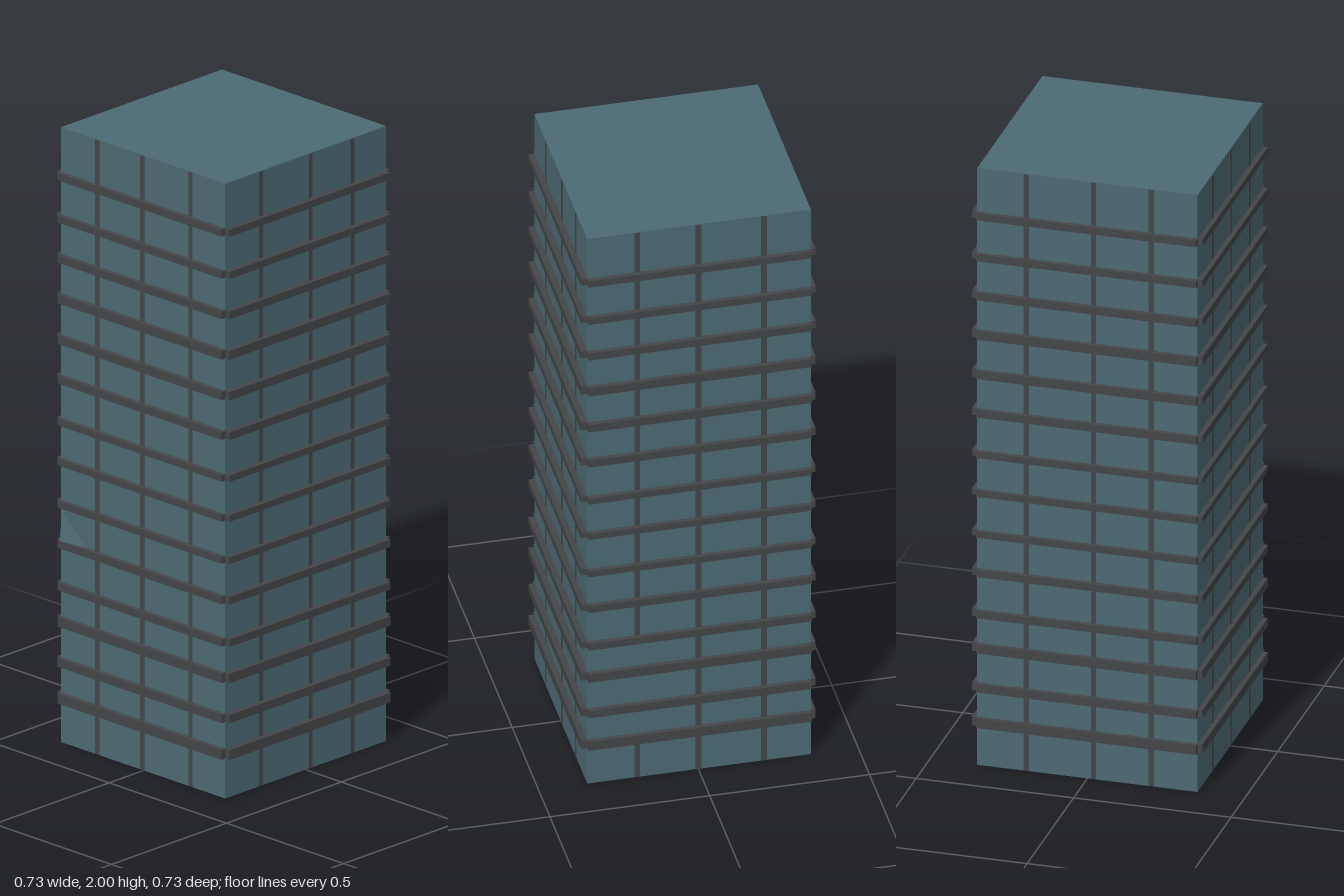
import * as THREE from 'three';

const W = 0.70;            // tower width
const OFF = -0.002;        // slight z offset of the tower

export function createModel() {
  const model = new THREE.Group();
  model.name = 'towerBlock';
  const glass = new THREE.MeshStandardMaterial({ color: 0x4c6a72 });
  const dark = new THREE.MeshStandardMaterial({ color: 0x434547 });

  const box = (name, w, h, d, x, y, z, mat, parent = model) => {
    const mesh = new THREE.Mesh(new THREE.BoxGeometry(w, h, d), mat);
    mesh.name = name;
    mesh.position.set(x, y, z);
    parent.add(mesh);
    return mesh;
  };

  // Glazed body
  box('body', W, 2, W, 0, 1, OFF, glass);

  // Floor ledges: [height, thickness]; two crossing slabs leave notched corners
  const floors = [
    [0.146, 0.032], [0.263, 0.027], [0.395, 0.03], [0.51, 0.024], [0.648, 0.024],
    [0.778, 0.021], [0.915, 0.021], [1.045, 0.021], [1.183, 0.025], [1.313, 0.027],
    [1.446, 0.029], [1.576, 0.025], [1.706, 0.023], [1.843, 0.023],
  ];
  const ledges = new THREE.Group();
  ledges.name = 'floorLedges';
  model.add(ledges);
  for (const [y, h] of floors) {
    box('sideLedge', 0.732, h, W, 0, y, OFF, dark, ledges);
    box('frontBackLedge', W, h, 0.734, 0, y, 0, dark, ledges);
  }

  // Nearly flush vertical mullions; the second half is the first turned around
  for (const [half, angle] of [['frontRight', 0], ['backLeft', Math.PI]]) {
    const mullions = new THREE.Group();
    mullions.name = half + 'Mullions';
    mullions.rotation.y = angle;
    mullions.position.z = OFF;
    model.add(mullions);
    const p = W / 2;
    for (const x of [-0.195, 0.02, 0.202])
      box('mullion', 0.015, 1.998, 0.004, x, 1, p, dark, mullions);
    for (const z of [0.002, -0.203])
      box('mullion', 0.004, 1.998, 0.017, p, 1, z, dark, mullions);
    // This mullion is interrupted on the right-hand side of the tower
    const spans = angle === 0 ? [[0, 0.146], [0.51, 2]] : [[0, 2]];
    for (const [a, b] of spans)
      box('mullion', 0.004, b - a - 0.002, 0.017, p, (a + b) / 2, 0.194, dark, mullions);
  }

  // Small loose sliver of trim at the back right corner of the left-hand wall
  const sliver = new THREE.BufferGeometry().setFromPoints([
    new THREE.Vector3(-0.366, 0.65, -0.345),
    new THREE.Vector3(-0.351, 0.75, -0.345),
    new THREE.Vector3(-0.351, 0.66, -0.24),
  ]);
  sliver.computeVertexNormals();
  const trim = new THREE.Mesh(sliver, new THREE.MeshStandardMaterial({ color: 0x4c6a72, side: THREE.DoubleSide }));
  trim.name = 'trimSliver';
  model.add(trim);

  return model;
}
